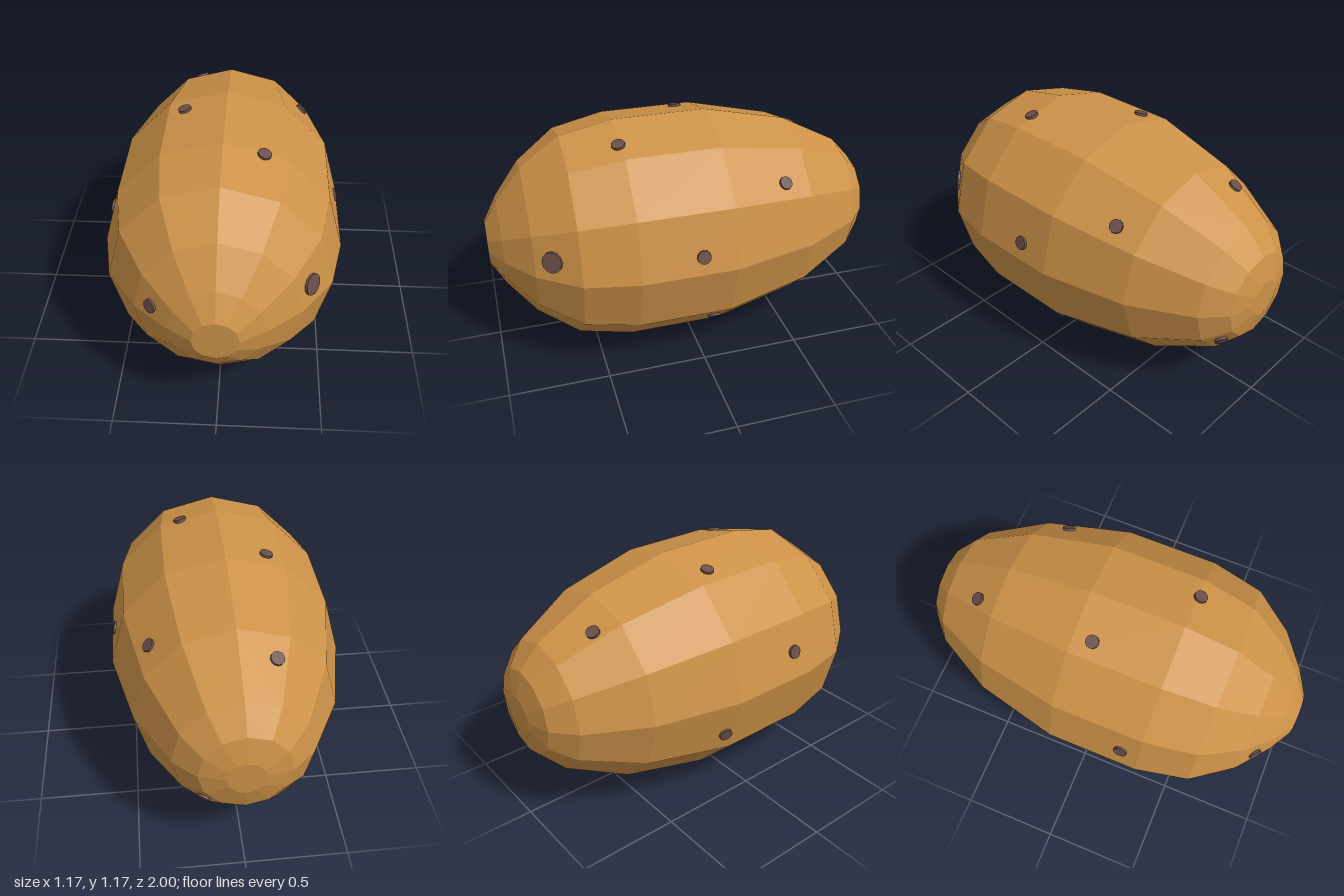
import * as THREE from 'three';

const SIDES = 12;
const CENTRE_Y = 0.585;

// Body profile along z: [z, radius at the corners]
const PROFILE = [
  [-1, 0.09], [-0.965, 0.215], [-0.865, 0.325], [-0.565, 0.485], [-0.135, 0.585],
  [0.335, 0.585], [0.6, 0.53], [0.8, 0.385], [0.93, 0.225], [1, 0.108],
];

// Eyes: [x, y, z, radius], snapped on to the nearest facet
const EYES = [
  [0.42, 0.68, 0.72, 0.052],
  [-0.3, 0.65, 0.86, 0.033],
  [0.19, 1.12, 0.345, 0.033],
  [-0.21, 1.12, -0.04, 0.033],
  [-0.17, 0.98, -0.67, 0.033],
  [0.39, 0.905, -0.43, 0.033],
  [0.57, 0.675, 0.035, 0.034],
  [0.43, 0.21, -0.07, 0.034],
  [0.17, 0.06, 0.4, 0.033],
  [0.19, 0.39, -0.91, 0.033],
  [-0.385, 0.2, 0.45, 0.052],
  [-0.56, 0.72, 0.24, 0.034],
  [-0.53, 0.395, -0.18, 0.034],
  [-0.07, 0.1, -0.47, 0.052],
];

function flat(geometry) {
  const g = geometry.toNonIndexed();
  g.computeVertexNormals();
  return g;
}

// Point and outward normal on the faceted body nearest to a given position
function onFacet(x, y, z) {
  const step = (Math.PI * 2) / SIDES;
  const angle = (Math.floor(Math.atan2(y, x) / step) + 0.5) * step;
  const out = new THREE.Vector3(Math.cos(angle), Math.sin(angle), 0);
  const along = new THREE.Vector3(-out.y, out.x, 0);
  const i = PROFILE.findIndex((p) => p[0] >= z);
  const [z0, r0] = PROFILE[i - 1];
  const [z1, r1] = PROFILE[i];
  const slope = ((r1 - r0) / (z1 - z0)) * Math.cos(step / 2);
  const apothem = r0 * Math.cos(step / 2) + slope * (z - z0);
  const point = out.clone().multiplyScalar(apothem)
    .addScaledVector(along, x * along.x + y * along.y);
  point.z = z;
  const normal = out.clone().setZ(-slope).normalize();
  return { point, normal };
}

export function createModel() {
  const skin = new THREE.MeshStandardMaterial({ color: 0xcd9248 });
  skin.name = 'goldenBrownSkin';
  const dark = new THREE.MeshStandardMaterial({ color: 0x6b4f4a });
  dark.name = 'darkBrownEye';

  const potato = new THREE.Group();
  potato.name = 'potato';

  // Faceted body with flat ends
  const points = [[-1, 0], ...PROFILE, [1, 0]].map(([z, r]) => new THREE.Vector2(r, z));
  const body = new THREE.Mesh(
    flat(new THREE.LatheGeometry(points, SIDES).rotateX(Math.PI / 2)), skin);
  body.name = 'body';
  potato.add(body);

  // Small round eyes sitting just proud of the skin
  const up = new THREE.Vector3(0, 1, 0);
  EYES.forEach(([x, y, z, r], i) => {
    const { point, normal } = onFacet(x, y - CENTRE_Y, z);
    const eye = new THREE.Mesh(flat(new THREE.CylinderGeometry(r, r, 0.024, 12)), dark);
    eye.name = `eye${i + 1}`;
    eye.position.copy(point);
    eye.quaternion.setFromUnitVectors(up, normal);
    potato.add(eye);
  });

  potato.position.y = CENTRE_Y;
  const model = new THREE.Group();
  model.name = 'potatoModel';
  model.add(potato);
  return model;
}
